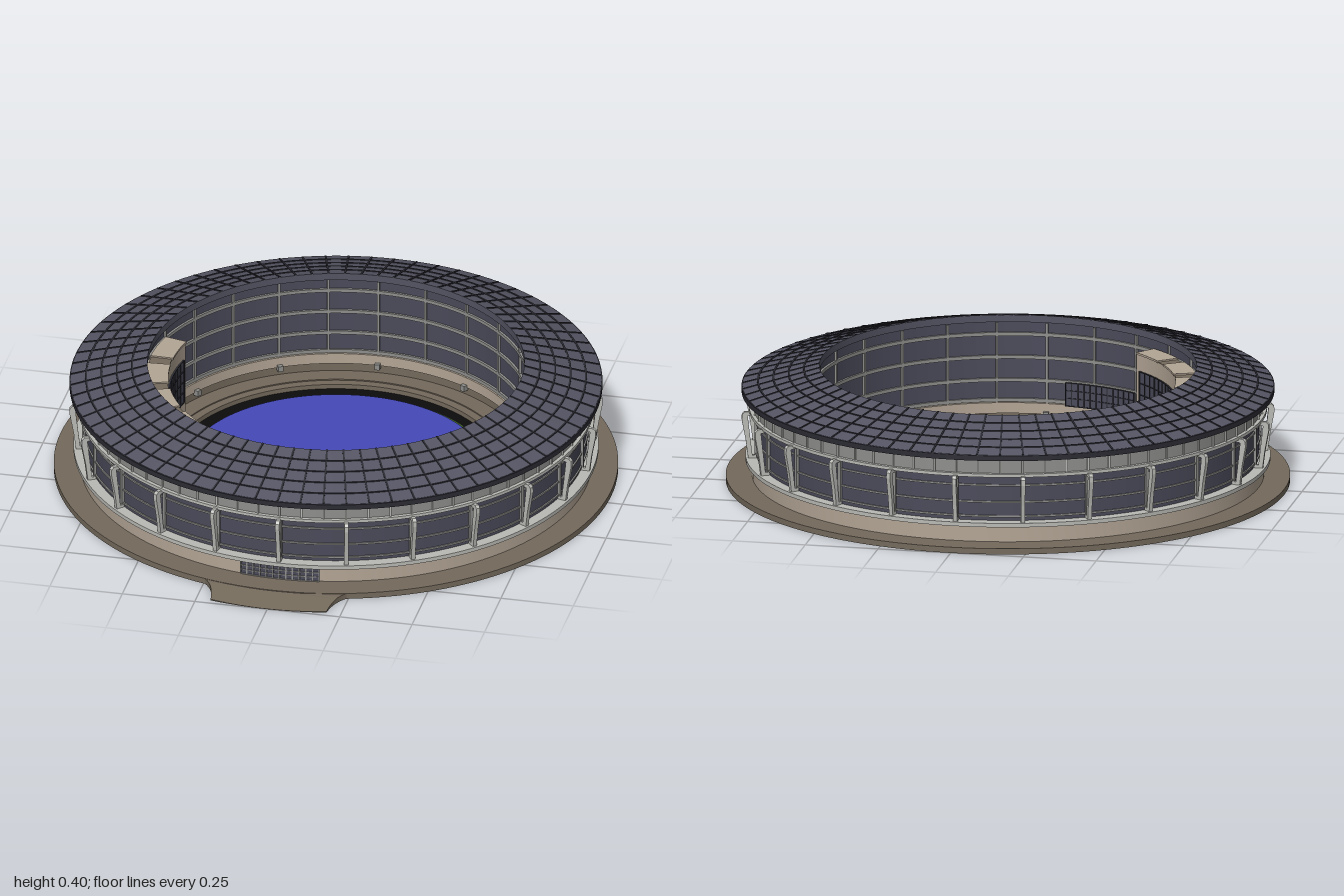
import * as THREE from 'three';
import { mergeGeometries, toCreasedNormals } from 'three/addons/utils/BufferGeometryUtils.js';

const SEG = 144, BAYS = 24, PANELS = 72;
const DEG = Math.PI / 180;

function makeMaterial(name, color) {
  const m = new THREE.MeshStandardMaterial({ color });
  m.name = name;
  return m;
}

// Profile of [radius, height] pairs, counterclockwise, turned about the y axis
function lathe(points) {
  const pts = points.map(([r, y]) => new THREE.Vector2(r, y));
  return toCreasedNormals(new THREE.LatheGeometry(pts, SEG), 0.2);
}

const ring = (r0, r1, y0, y1) => lathe([[r0, y0], [r1, y0], [r1, y1], [r0, y1], [r0, y0]]);

// Curved block between two radii and two angles (degrees; 0 = +x, 270 = front)
function sector(r0, r1, a0, a1, y0, y1) {
  const s = new THREE.Shape();
  s.absarc(0, 0, r1, a0 * DEG, a1 * DEG, false);
  s.absarc(0, 0, r0, a1 * DEG, a0 * DEG, true);
  return new THREE.ExtrudeGeometry(s, { depth: y1 - y0, bevelEnabled: false, curveSegments: 20 })
    .rotateX(-Math.PI / 2).translate(0, y0, 0);
}

// Copies of a geometry lying along +x, spread around the y axis
function around(geo, count) {
  const copies = [];
  for (let i = 0; i < count; i++) copies.push(geo.clone().rotateY((i / count) * Math.PI * 2));
  return mergeGeometries(copies);
}

const boxAt = (w, h, d, x, y) => new THREE.BoxGeometry(w, h, d).translate(x, y, 0);

// Grid of bars on a curved wall
function grid(r0, r1, a0, a1, y0, y1, cols, rows) {
  const bars = [];
  for (let i = 0; i <= cols; i++) {
    const a = a0 + ((a1 - a0) * i) / cols;
    bars.push(sector(r0, r1, a - 0.14, a + 0.14, y0, y1));
  }
  for (let j = 0; j <= rows; j++) {
    const y = y0 + ((y1 - y0) * j) / rows;
    bars.push(sector(r0, r1, a0, a1, y - 0.0015, y + 0.0015));
  }
  return mergeGeometries(bars);
}

export function createModel() {
  const model = new THREE.Group();
  const stadium = new THREE.Group();
  stadium.name = 'roundBuilding';
  stadium.position.z = -0.05;
  model.add(stadium);

  const paving = makeMaterial('paving brown', 0x746a5c);
  const tan = makeMaterial('tan stone', 0xb3a595);
  const slate = makeMaterial('slate roof', 0x545463);
  const glass = makeMaterial('dark glass', 0x4a4a5a);
  const seam = makeMaterial('dark seam', 0x2b2b33);
  const grey = makeMaterial('grey trim', 0x8e8e8c);
  const pale = makeMaterial('pale steel', 0xb9b9b5);
  const blue = makeMaterial('blue field', 0x4448b8);
  const green = makeMaterial('grass green', 0x35561f);
  const black = makeMaterial('black channel', 0x0c0c0c);

  const add = (name, geo, mat, parent = stadium) => {
    const mesh = new THREE.Mesh(geo, mat);
    mesh.name = name;
    parent.add(mesh);
    return mesh;
  };

  // Ground plate with a shallow round recess
  add('basePlate', lathe([[0, 0], [0.95, 0], [0.95, 0.02], [0.555, 0.02], [0.555, 0.003], [0, 0.003]]), paving);
  add('courtyardStep', ring(0.585, 0.66, 0.015, 0.024), paving);

  // Entrance ramp sloping down to the front
  const rampShape = new THREE.Shape();
  rampShape.moveTo(-0.27, -0.85);
  rampShape.quadraticCurveTo(-0.21, -0.88, -0.2, -0.98);
  rampShape.quadraticCurveTo(0, -1.02, 0.2, -0.98);
  rampShape.quadraticCurveTo(0.21, -0.88, 0.27, -0.85);
  const ramp = new THREE.ExtrudeGeometry(rampShape, { depth: 0.019, bevelEnabled: false }).rotateX(-Math.PI / 2);
  const rp = ramp.attributes.position;
  for (let i = 0; i < rp.count; i++) {
    const slope = THREE.MathUtils.clamp((1.005 - rp.getZ(i)) / 0.11, 0.05, 1);
    rp.setY(i, rp.getY(i) * slope);
  }
  ramp.computeVertexNormals();
  add('entranceRamp', ramp, paving, model);

  // Field, grass and the channel around it
  const disc = (r, y) => new THREE.CircleGeometry(r, SEG).rotateX(-Math.PI / 2).translate(0, y, 0);
  add('channel', disc(0.553, 0.005), black);
  add('grass', disc(0.512, 0.007).translate(0.012, 0, 0.012), green);
  add('field', disc(0.502, 0.01), blue);

  // Stone base storey
  add('outerBaseWall', ring(0.7, 0.862, 0.015, 0.08), tan);
  add('innerBaseWall', ring(0.648, 0.71, 0.015, 0.06), paving);
  add('innerBaseBand', ring(0.64, 0.71, 0.055, 0.092), tan);
  add('innerFixtures', around(boxAt(0.02, 0.02, 0.018, 0.635, 0.055), 12), grey);

  // Glazed upper storey
  add('glazedStorey', lathe([[0.652, 0.08], [0.846, 0.08], [0.846, 0.318], [0.652, 0.375], [0.652, 0.08]]), glass);
  add('balconyLedge', ring(0.8, 0.884, 0.076, 0.09), pale);
  add('windowHead', ring(0.83, 0.872, 0.247, 0.258), pale);
  add('upperBand', ring(0.83, 0.859, 0.256, 0.318), grey);
  add('upperBandRibs', around(boxAt(0.008, 0.054, 0.006, 0.86, 0.285), PANELS), pale);
  for (const y of [0.105, 0.155, 0.213]) add('outerWindowRail', ring(0.84, 0.851, y - 0.003, y + 0.003), grey);
  for (const y of [0.1, 0.17, 0.25, 0.33]) add('innerWindowRail', ring(0.644, 0.66, y - 0.006, y + 0.006), grey);
  add('innerPosts', around(boxAt(0.012, 0.28, 0.008, 0.65, 0.23), BAYS), grey);

  // Leaning blade columns around the outside
  const blade = new THREE.Shape([[0.85, 0.088], [0.876, 0.088], [0.884, 0.15], [0.898, 0.225], [0.897, 0.243],
    [0.888, 0.252], [0.85, 0.25], [0.85, 0.24], [0.878, 0.238], [0.868, 0.15], [0.862, 0.1], [0.85, 0.1]]
    .map(([x, y]) => new THREE.Vector2(x, y)));
  const bladeGeo = new THREE.ExtrudeGeometry(blade, { depth: 0.014, bevelEnabled: false }).translate(0, 0, -0.007);
  add('bladeColumns', around(bladeGeo, BAYS), pale);
  add('windowPosts', around(boxAt(0.01, 0.16, 0.012, 0.85, 0.168), BAYS), grey);

  // Conical ring roof with panel seams
  add('roof', lathe([[0.635, 0.375], [0.893, 0.313], [0.893, 0.33], [0.635, 0.4], [0.635, 0.375]]), slate);
  add('roofFascia', ring(0.885, 0.897, 0.311, 0.329), seam);
  const roofY = (r) => 0.33 + ((0.893 - r) / 0.258) * 0.07;
  const seamGeo = new THREE.BoxGeometry(0.266, 0.005, 0.006)
    .rotateZ(-Math.atan2(0.07, 0.258)).translate(0.764, roofY(0.764), 0);
  add('radialSeams', around(seamGeo, PANELS), seam);
  for (let i = 1; i < 5; i++) {
    const r = 0.635 + (0.258 * i) / 5;
    add('ringSeam', ring(r - 0.003, r + 0.003, roofY(r) - 0.004, roofY(r) + 0.0025), seam);
  }

  // Curved gallery standing inside the courtyard
  const gallery = new THREE.Group();
  gallery.name = 'gallery';
  stadium.add(gallery);
  add('galleryBody', sector(0.568, 0.66, 166, 232, 0.02, 0.335), tan, gallery);
  add('galleryTop', sector(0.568, 0.64, 166, 232, 0.335, 0.338), paving, gallery);
  for (let i = 0; i < 4; i++) {
    const a = 166 + i * 17.6;
    add('galleryRoofPanel', sector(0.564, 0.642, a, a + 13, 0.336, 0.343), tan, gallery);
  }
  add('galleryGlass', sector(0.564, 0.57, 168, 230, 0.12, 0.28), glass, gallery);
  add('galleryMullions', grid(0.561, 0.566, 168, 230, 0.12, 0.28, 20, 4), seam, gallery);

  // Glazed doors at the front, outside and in the courtyard
  add('entranceGlass', sector(0.855, 0.865, 261, 279, 0.022, 0.07), glass);
  add('entranceMullions', grid(0.86, 0.868, 261, 279, 0.022, 0.07, 12, 3), grey);
  add('courtyardGlass', sector(0.636, 0.655, 240, 264, 0.09, 0.17), glass);
  add('courtyardMullions', grid(0.633, 0.64, 240, 264, 0.09, 0.17, 12, 3), seam);

  return model;
}
